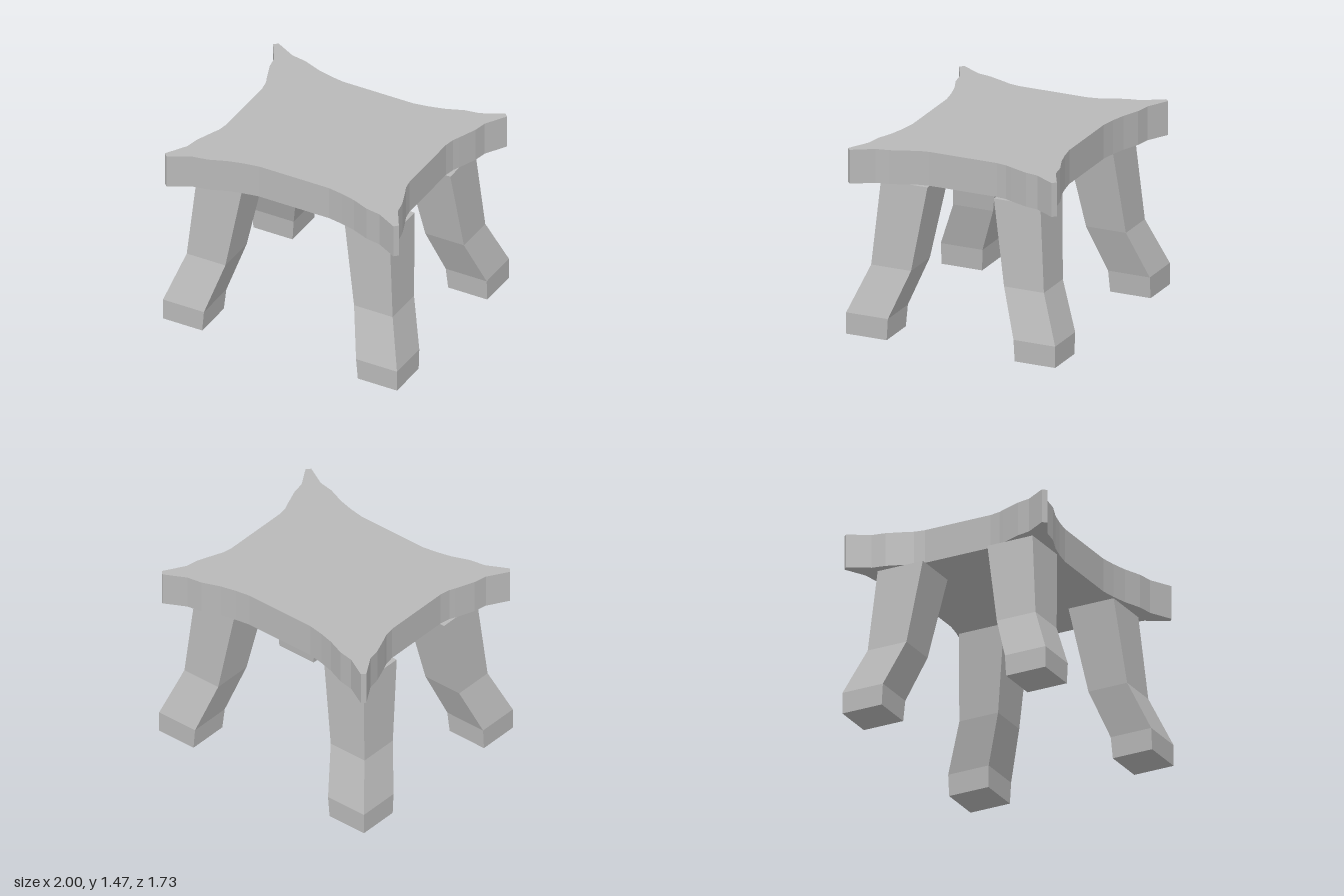
import * as THREE from 'three';

// Leg cross-sections from floor to seat: height, inner/outer x, inner/outer z
const LEG = [
  { y: 0, x: [0.665, 1], z: [0.53, 0.865] },
  { y: 0.17, x: [0.65, 1], z: [0.52, 0.865] },
  { y: 0.535, x: [0.55, 0.88], z: [0.385, 0.715] },
  { y: 1.2, x: [0.44, 0.825], z: [0.275, 0.66] },
];

// One quarter of the seat outline, from the side edge round the corner to the front edge
const QUARTER = [
  [0.785, 0.28], [0.80, 0.365], [0.82, 0.41], [0.88, 0.565], [0.90, 0.67],
  [1, 0.835], [0.97, 0.865], [0.80, 0.775], [0.68, 0.755],
  [0.54, 0.70], [0.42, 0.67], [0.30, 0.65],
];

function seatGeometry() {
  const points = [];
  for (const [sx, sz] of [[1, 1], [-1, 1], [-1, -1], [1, -1]]) {
    const quarter = QUARTER.map(([x, z]) => new THREE.Vector2(x * sx, z * sz));
    if (sx * sz < 0) quarter.reverse();
    points.push(...quarter);
  }
  const geometry = new THREE.ExtrudeGeometry(new THREE.Shape(points), { depth: 0.27, bevelEnabled: false });
  return geometry.rotateX(-Math.PI / 2).translate(0, 1.2, 0);
}

// A box with three height segments, bent to follow the cross-sections
function legGeometry(sx, sz) {
  const geometry = new THREE.BoxGeometry(1, 3, 1, 1, 3, 1);
  const p = geometry.attributes.position;
  for (let i = 0; i < p.count; i++) {
    const s = LEG[Math.round(p.getY(i) + 1.5)];
    const x = s.x[p.getX(i) * sx > 0 ? 1 : 0];
    const z = s.z[p.getZ(i) * sz > 0 ? 1 : 0];
    p.setXYZ(i, x * sx, s.y, z * sz);
  }
  geometry.computeVertexNormals();
  return geometry;
}

export function createModel() {
  const group = new THREE.Group();
  group.name = 'stool';
  const grey = new THREE.MeshStandardMaterial({ color: 0xb8b8b8 });
  grey.name = 'grey';
  grey.flatShading = true;

  const add = (name, geometry) => {
    const mesh = new THREE.Mesh(geometry, grey);
    mesh.name = name;
    group.add(mesh);
  };

  add('seat', seatGeometry());
  for (const sx of [1, -1])
    for (const sz of [1, -1])
      add((sz > 0 ? 'front' : 'back') + (sx > 0 ? 'Left' : 'Right') + 'Leg', legGeometry(sx, sz));

  return group;
}
